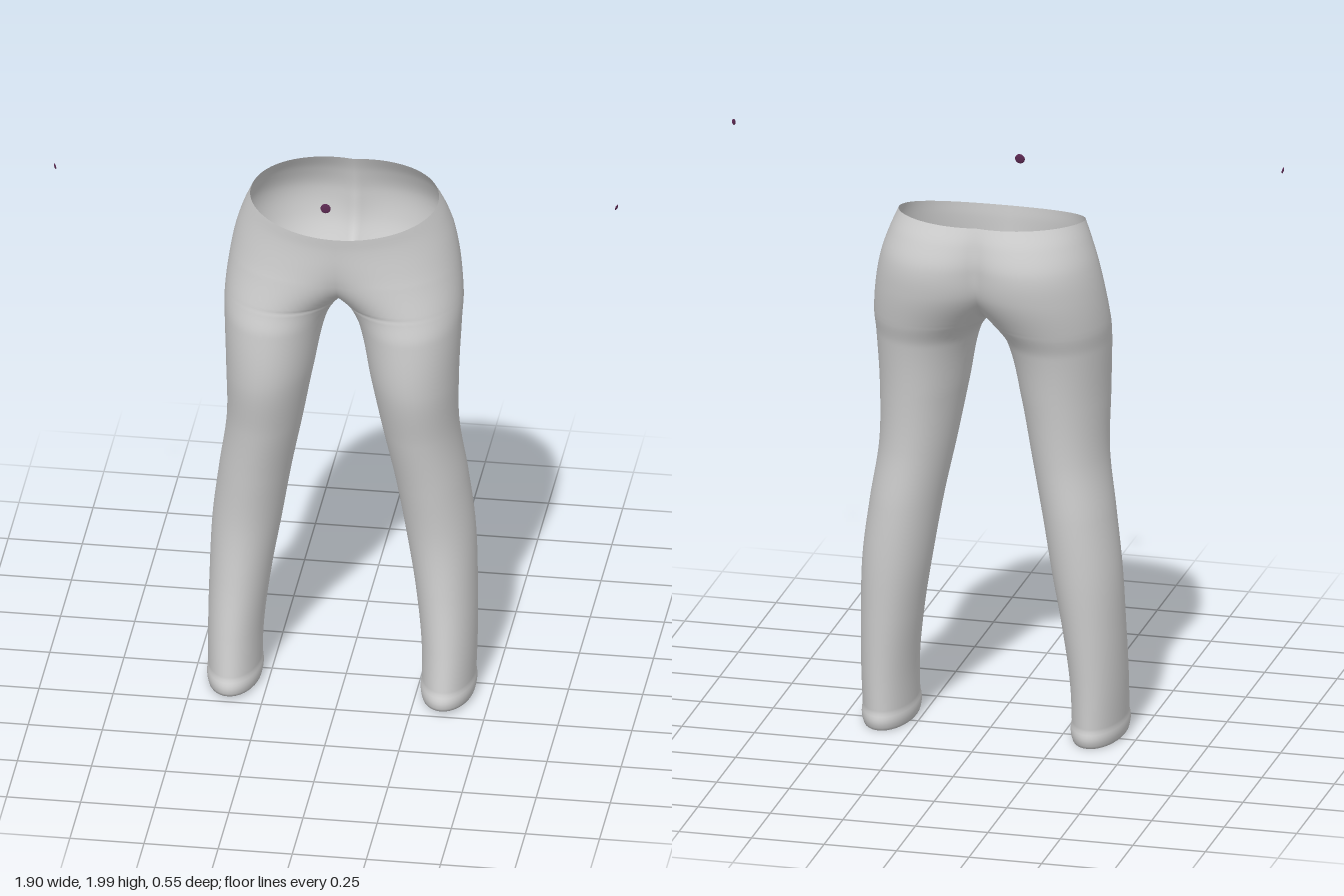
import * as THREE from 'three';
import { mergeVertices } from 'three/addons/utils/BufferGeometryUtils.js';

const fabric = new THREE.MeshStandardMaterial({ color: 0xcccccc, side: THREE.DoubleSide });
fabric.name = 'greyFabric';
const plum = new THREE.MeshStandardMaterial({ color: 0x5a2850 });
plum.name = 'darkPlum';

const CROTCH = 1.48;

// Section keys: y, outer x, front centre x, back centre x, front z, back z
const KEYS = [
  [0.00, 0.447, 0.360, 0.360, 0.235, -0.125],
  [0.20, 0.452, 0.360, 0.360, 0.200, -0.130],
  [0.40, 0.450, 0.347, 0.347, 0.170, -0.140],
  [0.60, 0.442, 0.326, 0.326, 0.157, -0.150],
  [0.80, 0.418, 0.297, 0.297, 0.175, -0.152],
  [1.00, 0.390, 0.263, 0.263, 0.207, -0.147],
  [1.20, 0.390, 0.244, 0.244, 0.245, -0.160],
  [1.40, 0.398, 0.226, 0.226, 0.240, -0.190],
  [1.48, 0.400, 0.200, 0.200, 0.224, -0.222],
  [1.60, 0.387, 0.100, 0.145, 0.218, -0.265],
  [1.70, 0.367, 0.040, 0.125, 0.217, -0.275],
  [1.78, 0.341, 0.010, 0.095, 0.217, -0.252],
  [1.84, 0.317, 0.000, 0.060, 0.220, -0.222],
];

// Smooth cubic interpolation of the section keys by height
function sectionAt(y) {
  const n = KEYS.length;
  let k = 0;
  while (k < n - 2 && y > KEYS[k + 1][0]) k++;
  const a = KEYS[k], b = KEYS[k + 1], h = b[0] - a[0];
  const t = Math.min(1, Math.max(0, (y - a[0]) / h));
  const slope = (i, c) => {
    const p = KEYS[Math.max(0, i - 1)], q = KEYS[Math.min(n - 1, i + 1)];
    return (q[c] - p[c]) / (q[0] - p[0]);
  };
  return [1, 2, 3, 4, 5].map((c) =>
    (2 * t ** 3 - 3 * t ** 2 + 1) * a[c] + (t ** 3 - 2 * t ** 2 + t) * h * slope(k, c) +
    (3 * t ** 2 - 2 * t ** 3) * b[c] + (t ** 3 - t ** 2) * h * slope(k + 1, c));
}

// One loop of a half: front midline -> outer side -> back midline.
// Above the crotch it stops at x = 0, below it closes around the leg.
function loopAt(y, half, scale = 1, lift = 0) {
  let [xo, cf, cb, zf, zb] = sectionAt(y);
  const joined = y > CROTCH - 0.005;
  if (!joined) cf = cb = (cf + cb) / 2;
  const cz = (zf + zb) / 2, rz = (zf - zb) / 2;
  const points = [];
  for (let i = 0; i <= 2 * half; i++) {
    const cx = i <= half ? cf : cb, rx = xo - cx;
    const end = joined ? Math.acos(-Math.min(1, cx / rx)) : Math.PI;
    const a = end * (1 - i / half);
    let x = cx + rx * scale * Math.cos(a);
    const z = cz + rz * scale * Math.sin(a);
    if (joined) x = i === 0 || i === 2 * half ? 0 : Math.max(0, x);
    // The waistline dips at the front, the hem rises towards the toe
    const top = 1.832 - 0.16 * z - 0.33 * z * z;
    let py = y > 1.6 ? 1.6 + (y - 1.6) / 0.24 * (top - 1.6) : y;
    py += lift + Math.max(0, 1 - y / 0.2) * (0.009 + 0.035 * z);
    points.push([x, py, z]);
  }
  return points;
}

function trouserGeometry() {
  const half = 20, rows = [];
  for (let j = 0; j <= 184; j++) {
    const y = Math.max(0, 1.84 - j * 0.01);
    const bulge = y < 0.06 ? 0.05 * Math.sin(Math.PI * y / 0.06) : 0;
    rows.push(loopAt(y, half, 1 + bulge));
  }
  rows.push(loopAt(0, half, 0.9, 0.008)); // turned-in hem
  const w = 2 * half + 1, position = [], index = [];
  for (const side of [1, -1]) {
    const base = position.length / 3;
    for (const row of rows) for (const [x, y, z] of row) position.push(side * x, y, z);
    for (let j = 0; j < rows.length - 1; j++) {
      for (let i = 0; i < w - 1; i++) {
        const a = base + j * w + i, b = a + w, c = a + 1, d = b + 1;
        if (side > 0) index.push(a, b, c, b, d, c);
        else index.push(a, c, b, b, c, d);
      }
    }
  }
  const g = new THREE.BufferGeometry();
  g.setAttribute('position', new THREE.Float32BufferAttribute(position, 3));
  g.setIndex(index);
  const merged = mergeVertices(g, 1e-4);
  merged.computeVertexNormals();
  return merged;
}

// Small flattened bead, thin along its local z
function bead(name, radius, depth, x, y, z, turn, tilt) {
  const m = new THREE.Mesh(new THREE.SphereGeometry(1, 16, 10), plum);
  m.name = name;
  m.scale.set(radius, radius, depth);
  m.position.set(x, y, z);
  m.rotation.set(tilt, turn, 0, 'YXZ');
  return m;
}

export function createModel() {
  const group = new THREE.Group();
  group.name = 'trousers';

  const trousers = new THREE.Mesh(trouserGeometry(), fabric);
  trousers.name = 'trouserLegsAndWaist';
  trousers.position.x = -0.006;
  group.add(trousers);

  // Loose floating beads
  group.add(bead('frontBead', 0.017, 0.004, -0.03, 1.93, 0.273, 0, -0.1));
  group.add(bead('rightBead', 0.01, 0.003, -0.95, 1.99, 0.222, -1.3, 0.3));
  group.add(bead('leftBead', 0.01, 0.003, 0.945, 1.988, 0.227, 1.3, 0.3));
  return group;
}
